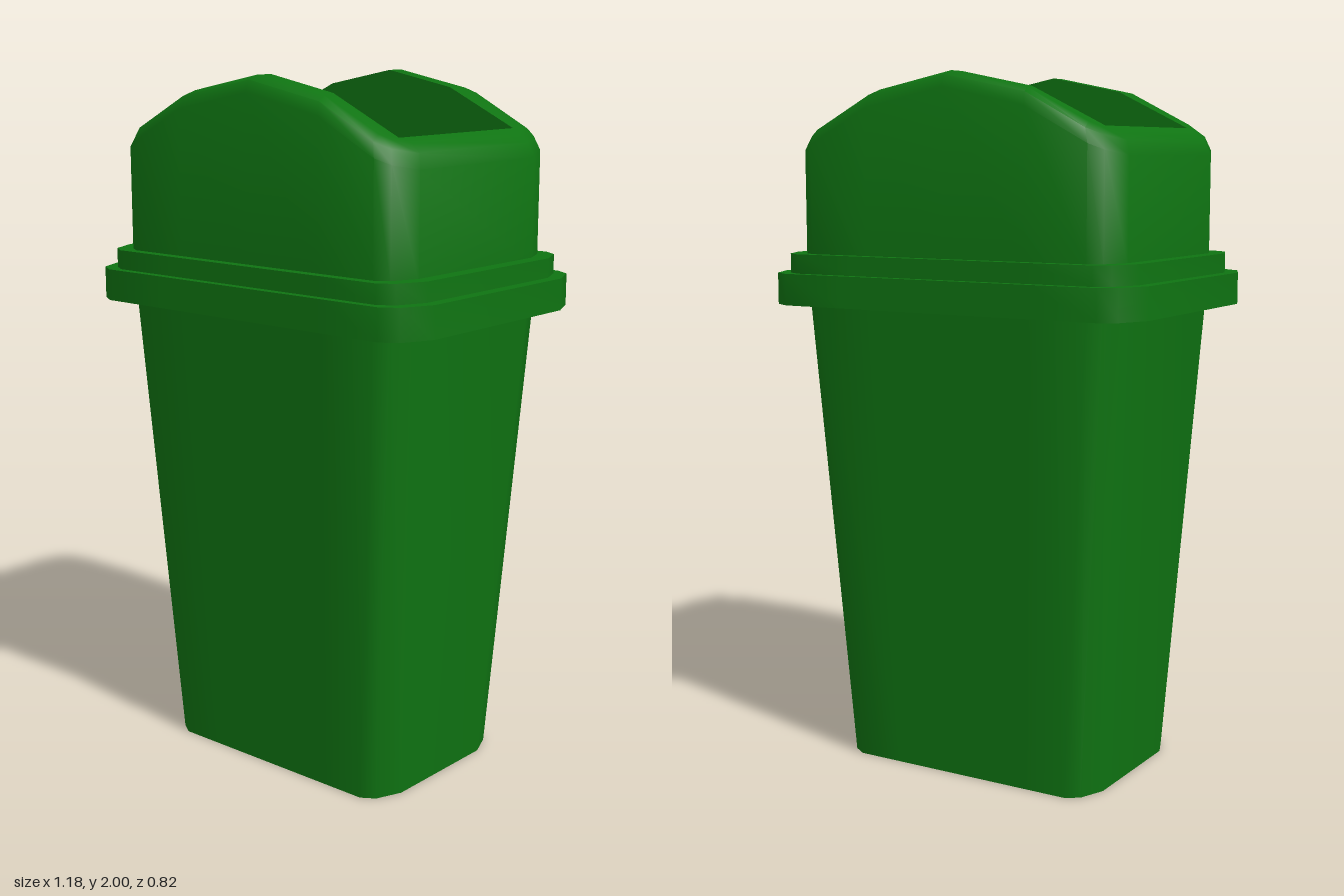
import * as THREE from 'three';
import { toCreasedNormals } from 'three/addons/utils/BufferGeometryUtils.js';

// Outline of a rectangle with two-facet corners; long sides are split so they can arch.
function outline(hx, hz, cx, cz) {
  const quarter = [
    [hx, hz - cz], [hx - cx * 0.45, hz - cz * 0.25], [hx - cx, hz], [hx * 0.5, hz],
  ];
  const flip = (sx, sz) => quarter.map(([x, z]) => [x * sx, z * sz]);
  return [
    ...flip(1, 1), [0, hz], ...flip(-1, 1).reverse(),
    ...flip(-1, -1), [0, -hz], ...flip(1, -1).reverse(),
  ];
}

// One ring: y is a number or a rule of x.
function ring(hx, hz, y, cx = 0.07, cz = 0.1) {
  return outline(hx, hz, cx, cz).map(([x, z]) =>
    new THREE.Vector3(x, typeof y === 'function' ? y(x) : y, z));
}

// Skin a series of rings, optionally closing the first (facing down) or last (facing up).
function skin(name, rings, material, { bottom = false, top = false } = {}) {
  const pos = [];
  const tri = (a, b, c) => {
    const area = b.clone().sub(a).cross(c.clone().sub(a)).length();
    if (area > 1e-8) for (const p of [a, b, c]) pos.push(p.x, p.y, p.z);
  };
  const n = rings[0].length;
  for (let r = 0; r + 1 < rings.length; r++) {
    for (let i = 0; i < n; i++) {
      const j = (i + 1) % n, lo = rings[r], hi = rings[r + 1];
      tri(lo[i], hi[i], hi[j]);
      tri(lo[i], hi[j], lo[j]);
    }
  }
  const cap = (loop, up) => {
    const c = new THREE.Vector3(0, loop[0].y, 0);
    for (let i = 0; i < n; i++) {
      const a = loop[i], b = loop[(i + 1) % n];
      up ? tri(c, b, a) : tri(c, a, b);
    }
  };
  if (bottom) cap(rings[0], false);
  if (top) cap(rings[rings.length - 1], true);
  const geo = new THREE.BufferGeometry();
  geo.setAttribute('position', new THREE.Float32BufferAttribute(pos, 3));
  const mesh = new THREE.Mesh(toCreasedNormals(geo, 0.85), material);
  mesh.name = name;
  return mesh;
}

// Height of the arched lid at a given x.
function arch(x) {
  const pts = [[0, 2], [0.25, 1.95], [0.44, 1.85], [0.52, 1.815]];
  const a = Math.abs(x);
  let k = 0;
  while (k < pts.length - 2 && a > pts[k + 1][0]) k++;
  const [x0, y0] = pts[k], [x1, y1] = pts[k + 1];
  return y0 + (y1 - y0) * (a - x0) / (x1 - x0);
}

export function createModel() {
  const group = new THREE.Group();
  group.name = 'swingTopBin';
  const green = new THREE.MeshStandardMaterial({ color: 0x0f7412, side: THREE.DoubleSide });

  // Tapered container
  group.add(skin('binBody', [
    ring(0.415, 0.285, 0),
    ring(0.511, 0.355, 1.43),
  ], green, { bottom: true }));

  // Stepped rim with a hanging skirt
  group.add(skin('rim', [
    ring(0.50, 0.35, 1.43),
    ring(0.57, 0.39, 1.43, 0.085, 0.115),
    ring(0.57, 0.39, 1.35, 0.085, 0.115),
    ring(0.59, 0.412, 1.35, 0.09, 0.12),
    ring(0.59, 0.412, 1.44, 0.09, 0.12),
    ring(0.555, 0.388, 1.44, 0.08, 0.11),
    ring(0.555, 0.388, 1.495, 0.08, 0.11),
    ring(0.50, 0.35, 1.495),
  ], green));

  // Arched lid with rounded shoulders, ending at the rectangular opening
  group.add(skin('lid', [
    ring(0.512, 0.358, 1.48),
    ring(0.512, 0.358, x => arch(x) - 0.045),
    ring(0.498, 0.344, x => arch(x) - 0.012),
    ring(0.47, 0.31, arch, 0.05, 0.07),
    ring(0.44, 0.255, arch, 0, 0),
  ], green));

  // Inner walls and floor
  group.add(skin('innerWalls', [
    ring(0.44, 0.255, arch, 0, 0),
    ring(0.375, 0.232, 0.04, 0, 0),
  ], green, { top: true }));

  return group;
}
